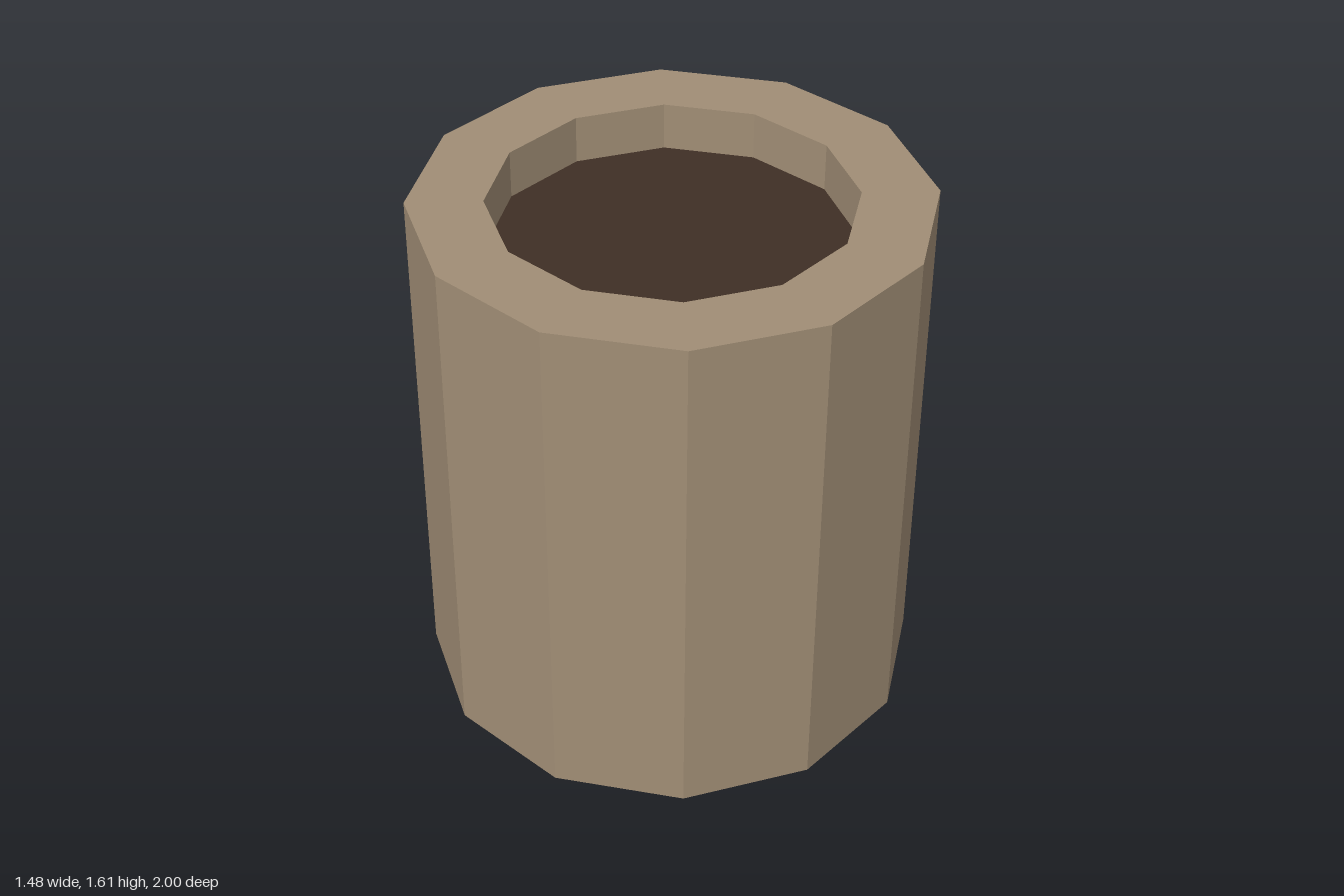
import * as THREE from 'three';

const SIDES = 12;
const RADIUS = 0.752;
const INNER = 0.53;
const HEIGHT = 1.61;
const LIQUID_Y = 1.463;
const CENTRE_Z = 0.26;
const TURN = THREE.MathUtils.degToRad(20.1); // angle of the first wall corner
const HANDLE_TURN = THREE.MathUtils.degToRad(65.1); // handle sits on one flat wall

function lathe(profile, material, name) {
  const points = profile.map(([r, y]) => new THREE.Vector2(r, y));
  const mesh = new THREE.Mesh(new THREE.LatheGeometry(points, SIDES, TURN), material);
  mesh.name = name;
  return mesh;
}

export function createModel() {
  const clay = new THREE.MeshStandardMaterial({ color: 0xa08d75, flatShading: true });
  clay.name = 'clay';
  const coffee = new THREE.MeshStandardMaterial({ color: 0x3f2f25, flatShading: true });
  coffee.name = 'coffee';

  const mug = new THREE.Group();
  mug.name = 'mug';

  // Twelve-sided cup: base, outer wall, rim and inner wall
  const cup = lathe(
    [[0, 0], [RADIUS, 0], [RADIUS, HEIGHT], [INNER, HEIGHT], [INNER, LIQUID_Y]],
    clay, 'cup');

  // Liquid surface closing the cavity
  const drink = lathe([[INNER, LIQUID_Y], [0, LIQUID_Y]], coffee, 'drink');

  // Handle outline: x is the distance out from the wall, ends set slightly into it
  const outline = [
    [-0.03, 1.485], [0, 1.485], [0.382, 1.36], [0.573, 1.06],
    [0.573, 0.715], [0.382, 0.415], [0, 0.293], [-0.03, 0.293],
    [-0.03, 0.583], [0, 0.583], [0.19, 0.647], [0.285, 0.795],
    [0.285, 0.973], [0.19, 1.122], [0, 1.176], [-0.03, 1.176],
  ].map(([x, y]) => new THREE.Vector2(x, y));
  const width = 2 * RADIUS * Math.sin(Math.PI / SIDES);
  const handleGeometry = new THREE.ExtrudeGeometry(new THREE.Shape(outline), {
    depth: width, bevelEnabled: false,
  });
  handleGeometry.translate(RADIUS * Math.cos(Math.PI / SIDES), 0, -width / 2);
  const handle = new THREE.Mesh(handleGeometry, clay);
  handle.name = 'handle';
  handle.rotation.y = HANDLE_TURN;

  mug.add(cup, drink, handle);
  mug.position.z = CENTRE_Z;

  const model = new THREE.Group();
  model.add(mug);
  return model;
}
